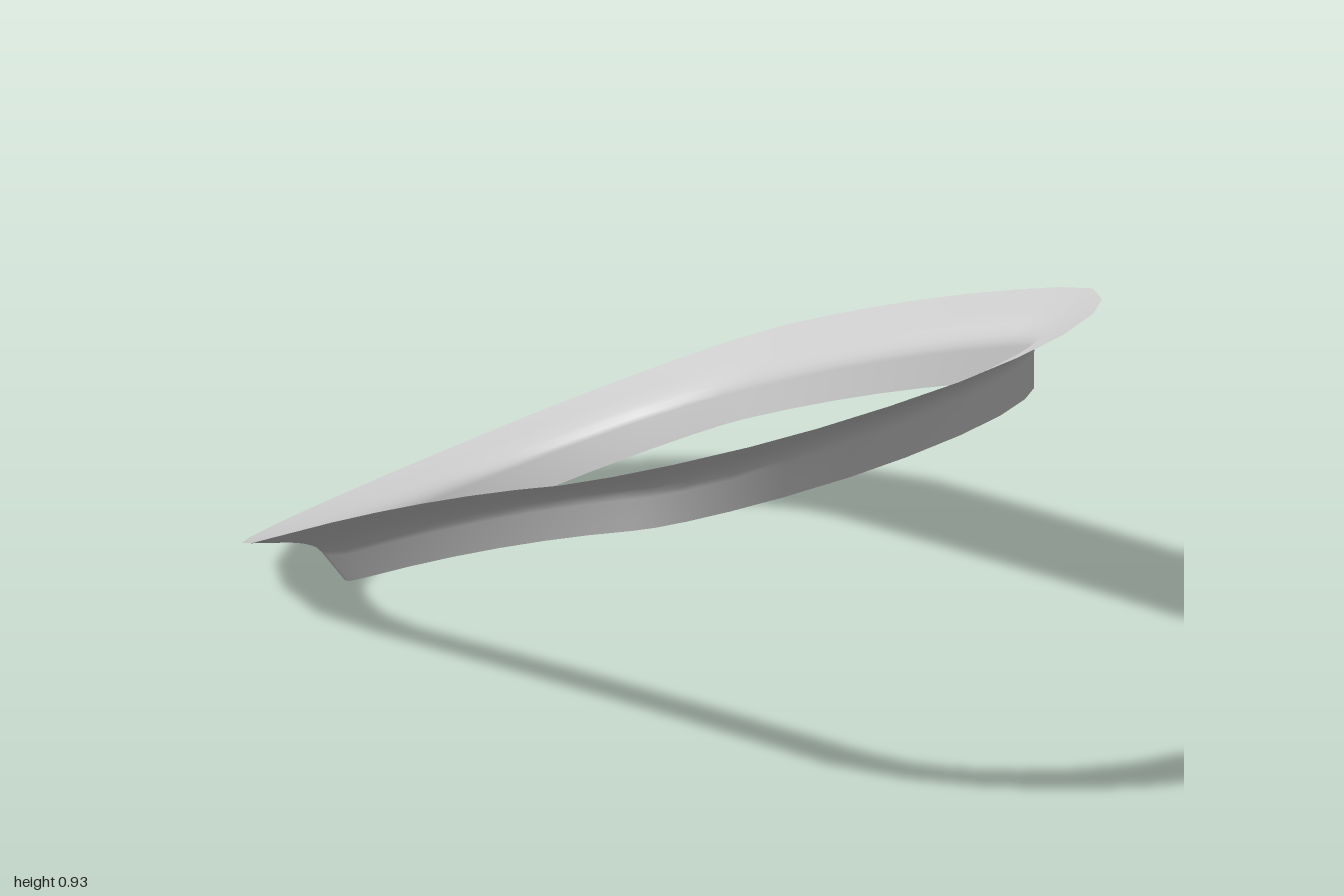
import * as THREE from 'three';

// Front half of the rim in plan (x, z); the back half is its half-turn copy
const OUTER = [[0.5, 0.58], [0.45, 0.72], [0.35, 0.84], [0.24, 0.92], [0.09, 0.98], [-0.06, 1], [-0.22, 0.99],
  [-0.37, 0.94], [-0.5, 0.87], [-0.6, 0.78], [-0.68, 0.65], [-0.72, 0.52], [-0.725, 0.38]];
const INNER = [[0.35, 0.6], [0.32, 0.67], [0.26, 0.74], [0.17, 0.8], [0.05, 0.845], [-0.08, 0.86], [-0.22, 0.845],
  [-0.34, 0.805], [-0.45, 0.73], [-0.52, 0.65], [-0.56, 0.57], [-0.575, 0.5], [-0.57, 0.43]];

// Closed outline: front arc, straight side, back arc, straight side
function outline(half, zSum, heightAt) {
  const front = half.map(([x, z]) => [x, z]);
  const back = half.map(([x, z]) => [-x, zSum - z]);
  const pts = [];
  for (const [arc, next] of [[front, back], [back, front]]) {
    pts.push(...arc);
    const a = arc[arc.length - 1], b = next[0];
    for (let k = 1; k < 6; k++) {
      pts.push([a[0] + (b[0] - a[0]) * k / 6, a[1] + (b[1] - a[1]) * k / 6]);
    }
  }
  return pts.map(([x, z]) => new THREE.Vector3(x, heightAt(x, z), z));
}

// Both edges lie on gently bowed, sloping surfaces
const rimHeight = (x, z) => 0.485 + 0.455 * z + 0.06 * (1 - z * z) + 0.03 * x;
const wallHeight = (x, z) => 0.349 + 0.455 * z + 0.06 * (z + 0.765) * (0.86 - z) + 0.03 * x;

// Cross-section: wall from b up to a rounded corner at w, then the flange out to o
function section(b, o) {
  const lean = Math.max(0, 0.17 - 0.18 * b.z - 0.2 * b.x);
  const w = b.clone().lerp(o, lean);
  w.y = b.y + 0.097 + 0.025 * b.z;
  const start = b.clone().lerp(w, 0.65);
  const end = w.clone().lerp(o, 0.45);
  const fillet = new THREE.QuadraticBezierCurve3(start, w, end);
  return [b, ...fillet.getPoints(6), o];
}

export function createModel() {
  const group = new THREE.Group();
  group.name = 'trimRing';

  const outer = outline(OUTER, 0, rimHeight);
  const inner = outline(INNER, 0.095, wallHeight);
  const sections = inner.map((b, i) => section(b, outer[i]));
  const n = sections.length, m = sections[0].length;

  const positions = [], index = [];
  sections.forEach((s, i) => {
    s.forEach((p, j) => {
      positions.push(p.x, p.y, p.z);
      if (j === m - 1) return;
      const a = i * m + j, b = ((i + 1) % n) * m + j;
      index.push(a, b, a + 1, b, b + 1, a + 1);
    });
  });

  const geometry = new THREE.BufferGeometry();
  geometry.setAttribute('position', new THREE.Float32BufferAttribute(positions, 3));
  geometry.setIndex(index);
  geometry.computeVertexNormals();

  // Thin open shell
  const flange = new THREE.Mesh(geometry,
    new THREE.MeshStandardMaterial({ color: 0xcccccc, side: THREE.DoubleSide }));
  flange.name = 'flaredRim';
  group.add(flange);
  return group;
}
